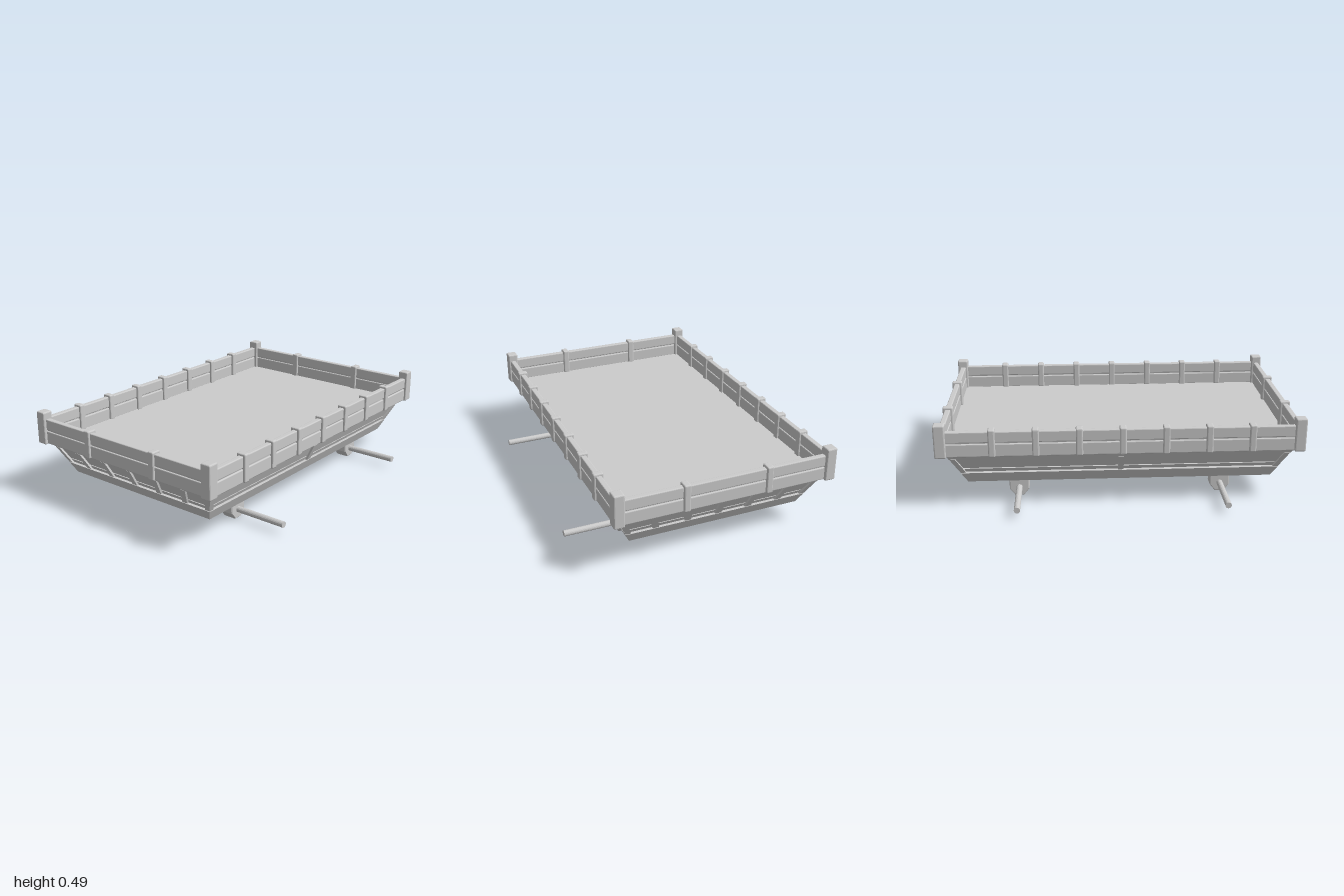
import * as THREE from 'three';
import { RoundedBoxGeometry } from 'three/addons/geometries/RoundedBoxGeometry.js';

export function createModel() {
  const root = new THREE.Group();
  root.name = 'cartBed';
  const mat = new THREE.MeshStandardMaterial({ color: 0xcccccc, flatShading: true });

  function add(name, geo, x = 0, y = 0, z = 0) {
    const mesh = new THREE.Mesh(geo, mat);
    mesh.name = name;
    mesh.position.set(x, y, z);
    root.add(mesh);
    return mesh;
  }

  // Timber with small bevels, standing from y0 to y1
  function timber(name, w, d, y0, y1, x, z, bevel = 0.006) {
    add(name, new RoundedBoxGeometry(w, y1 - y0, d, 2, bevel), x, (y0 + y1) / 2, z);
  }

  // Box whose lower and upper ends have their own centre and size
  function taper(name, y0, y1, low, high) {
    const geo = new THREE.BoxGeometry(1, 1, 1);
    const p = geo.attributes.position;
    for (let i = 0; i < p.count; i++) {
      const top = p.getY(i) > 0;
      const e = top ? high : low;
      p.setXYZ(i, e.x + p.getX(i) * e.w, top ? y1 : y0, e.z + p.getZ(i) * e.d);
    }
    geo.computeVertexNormals();
    add(name, geo);
  }

  // Half width and half depth of the flared hull at height y
  const hullX = (y) => 0.845 + 0.53 * (y - 0.11);
  const hullZ = (y) => 0.495 + 0.47 * (y - 0.11);
  function hullBand(name, y0, y1, inset) {
    const at = (y) => ({ x: 0, z: 0, w: 2 * (hullX(y) - inset), d: 2 * (hullZ(y) - inset) });
    taper(name, y0, y1, at(y0), at(y1));
  }

  // Hull: solid core, rims and recessed planks
  hullBand('hullCore', 0.115, 0.305, 0.026);
  hullBand('lowerRim', 0.11, 0.172, 0);
  hullBand('upperRim', 0.275, 0.31, 0);
  hullBand('lowerPlank', 0.177, 0.198, 0.014);
  hullBand('upperPlank', 0.204, 0.268, 0.014);

  // Slanted ribs, following the flare of the hull
  const ribLow = 0.176, ribHigh = 0.272;
  function rib(name, w, d, place) {
    const at = (y) => ({ ...place(y), w, d });
    taper(name, ribLow, ribHigh, at(ribLow), at(ribHigh));
  }
  for (const s of [-1, 1]) {
    for (const f of [-0.68, -0.335, 0, 0.335, 0.68]) {
      rib('endRib', 0.028, 0.034, (y) => ({ x: s * (hullX(y) - 0.015), z: f * hullZ(y) }));
    }
    rib('sideRib', 0.03, 0.028, (y) => ({ x: 0, z: s * (hullZ(y) - 0.015) }));
    for (const t of [-1, 1]) {
      rib('cornerRib', 0.03, 0.03, (y) => ({ x: s * (hullX(y) - 0.016), z: t * (hullZ(y) - 0.016) }));
    }
  }

  // Board walls, stakes and corner posts
  const wallX = 0.967, wallZ = 0.603;
  const boards = [[0.305, 0.379], [0.385, 0.448]];
  for (const s of [-1, 1]) {
    for (const [y0, y1] of boards) {
      timber('sideBoard', 2 * wallX, 0.032, y0, y1, 0, s * wallZ);
      timber('endBoard', 0.032, 2 * wallZ, y0, y1, s * wallX, 0);
    }
    // Thin backing closes the seam between boards
    timber('sideBacking', 1.92, 0.016, 0.31, 0.44, 0, s * wallZ, 0.002);
    timber('endBacking', 0.016, 1.2, 0.31, 0.44, s * wallX, 0, 0.002);
    for (let i = -3; i <= 3; i++) {
      timber('sideStake', 0.038, 0.056, 0.305, 0.46, i * 0.234 - 0.007, s * wallZ, 0.008);
    }
    for (const z of [-0.235, 0.235]) {
      timber('endStake', 0.058, 0.038, 0.305, 0.46, s * wallX, z, 0.008);
    }
    for (const t of [-1, 1]) {
      timber('cornerPost', 0.062, 0.06, 0.302, 0.49, s * 0.969, t * 0.601, 0.008);
    }
  }

  // Axle blocks with chamfered undersides
  const profile = new THREE.Shape([
    [-0.055, 0.115], [-0.055, 0.042], [-0.024, 0.003], [0.024, 0.003], [0.055, 0.042], [0.055, 0.115],
  ].map(([x, y]) => new THREE.Vector2(x, y)));
  function axleBlock(name, x, z, length) {
    const geo = new THREE.ExtrudeGeometry(profile, {
      depth: length - 0.008, bevelEnabled: true, bevelThickness: 0.004,
      bevelSize: 0.004, bevelOffset: -0.004, bevelSegments: 1,
    });
    geo.translate(0, 0, -(length - 0.008) / 2);
    add(name, geo, x, 0, z);
  }
  for (const x of [-0.566, 0.566]) {
    axleBlock('axleMiddleBlock', x, 0, 0.29);
    for (const z of [-0.42, 0.42]) axleBlock('axleOuterBlock', x, z, 0.078);
    const axle = new THREE.CylinderGeometry(0.017, 0.017, 1.52, 16);
    axle.rotateX(Math.PI / 2);
    add('axle', axle, x, 0.053, 0);
  }
  return root;
}
